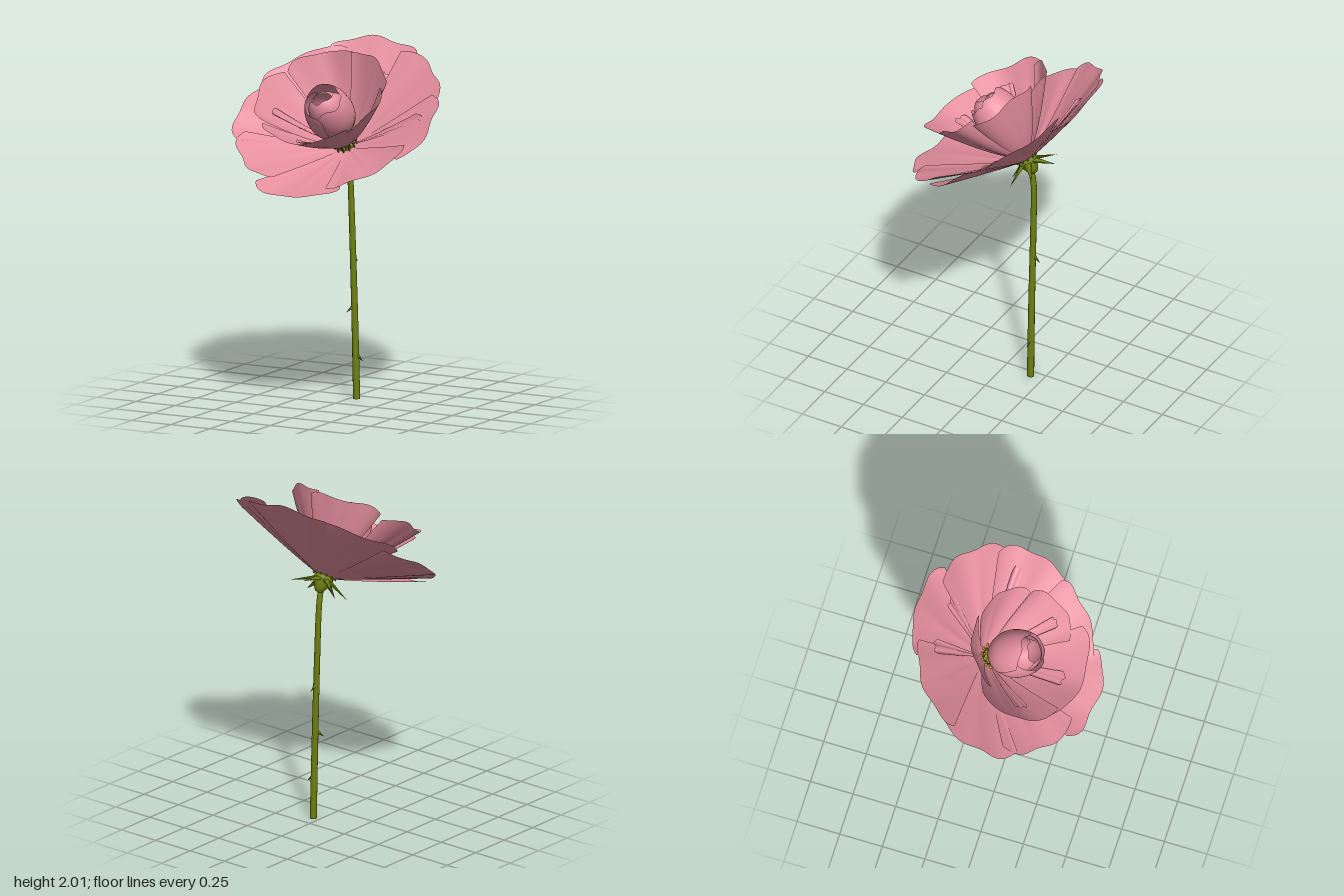
import * as THREE from 'three';

const petalPink = new THREE.MeshStandardMaterial({ color: 0xe68f9e, side: THREE.DoubleSide });
const stemGreen = new THREE.MeshStandardMaterial({ color: 0x6e800c, side: THREE.DoubleSide });
const antherYellow = new THREE.MeshStandardMaterial({ color: 0xc2980f });
petalPink.name = 'petalPink';
stemGreen.name = 'stemGreen';
antherYellow.name = 'antherYellow';

function add(parent, name, geometry, material) {
  const mesh = new THREE.Mesh(geometry, material);
  mesh.name = name;
  parent.add(mesh);
  return mesh;
}

// Smooth sheet: rule(u, v) with u in -1..1 across and v in 0..1 from base to rim
function sheet(nu, nv, rule) {
  const pos = [], index = [];
  for (let j = 0; j <= nv; j++) {
    for (let i = 0; i <= nu; i++) {
      // angle is measured from +z towards +x, around the flower axis y
      const [angle, r, h] = rule((i / nu) * 2 - 1, j / nv);
      pos.push(Math.sin(angle) * r, h, Math.cos(angle) * r);
      if (i < nu && j < nv) {
        const a = j * (nu + 1) + i, b = a + nu + 1;
        index.push(a, a + 1, b, b, a + 1, b + 1);
      }
    }
  }
  const g = new THREE.BufferGeometry();
  g.setAttribute('position', new THREE.Float32BufferAttribute(pos, 3));
  g.setIndex(index);
  g.computeVertexNormals();
  return g;
}

// Open petal with rounded corners, a scalloped rim and soft radial folds
function petal({ angle, half, radius, height, r0, h0, rise, twist, fold, seed }) {
  return sheet(32, 16, (u, v) => {
    const rim = 1 - 0.06 * u ** 6 + 0.014 * Math.sin(u * 7 + seed) * v;
    const r = r0 + (radius * rim - r0) * v;
    const h = h0 + (height - h0) * Math.pow(v, rise) * (0.6 + 0.4 * rim)
      + twist * u * v
      + fold * v * v * Math.sin(u * 5 + seed * 2)
      + fold * 0.7 * Math.sin(v * Math.PI) * Math.exp(-((u * 6 - Math.sin(seed)) ** 2));
    return [angle + u * half, r, h];
  });
}

// Cupped petal of the teardrop bud, centred on its group's origin
function budPetal(angle, half, scale, top, seed) {
  return sheet(22, 18, (u, v) => {
    const t = v * (top - 0.1 * u ** 4 + 0.02 * Math.sin(u * 6 + seed));
    const s = Math.sin(Math.PI * t);
    const r = 0.137 * scale * Math.pow(s, t < 0.5 ? 1.6 : 0.85) * (1 + 0.05 * u * v);
    return [angle + u * half, r + 0.003, -0.205 * scale * Math.cos(Math.PI * t)];
  });
}

export function createModel() {
  const model = new THREE.Group();
  model.name = 'flower';

  // Stem, leaning slightly and hooking forward into the flower
  const path = new THREE.CatmullRomCurve3([
    [0.04, 0, -0.172], [0.027, 0.5, -0.172], [0.01, 1, -0.173], [0, 1.28, -0.17], [0, 1.36, -0.158], [0, 1.42, -0.14],
  ].map(p => new THREE.Vector3(...p)));
  const stemGeo = new THREE.TubeGeometry(path, 30, 0.017, 10);
  const sp = stemGeo.attributes.position;
  for (let i = 0; i < sp.count; i++) {
    const c = path.getPointAt(Math.floor(i / 11) / 30);
    const s = 1.2 - 0.22 * c.y / 1.4;
    sp.setXYZ(i, c.x + (sp.getX(i) - c.x) * s, Math.max(0, c.y + (sp.getY(i) - c.y) * s), c.z + (sp.getZ(i) - c.z) * s);
  }
  add(model, 'stem', stemGeo, stemGreen);
  const cap = add(model, 'stemCut', new THREE.CircleGeometry(0.0203, 10), stemGreen);
  cap.rotation.x = Math.PI / 2;
  cap.position.set(0.04, 0.001, -0.172);

  // Thorns pointing out and down
  for (const [x, y, z, dx, dz] of [[0.05, 0.235, -0.172, 1, 0], [0.013, 0.51, -0.16, -0.7, 0.7], [0.016, 0.795, -0.19, 0.1, -1]]) {
    const thorn = add(model, 'thorn', new THREE.ConeGeometry(0.013, 0.06, 6), stemGreen);
    thorn.position.set(x + dx * 0.01, y, z + dz * 0.01);
    thorn.quaternion.setFromUnitVectors(new THREE.Vector3(0, 1, 0), new THREE.Vector3(dx, -0.85, dz).normalize());
  }

  // Flower head, tilted forward; its own axis is y
  const head = new THREE.Group();
  head.name = 'flowerHead';
  head.position.set(0, 1.44, -0.13);
  head.rotation.x = 0.603;
  model.add(head);

  // Funnel-shaped hip under the petals
  const hip = [[0, -0.085], [0.02, -0.08], [0.036, -0.055], [0.05, -0.025], [0.056, 0], [0.05, 0.018], [0.04, 0.03], [0, 0.04]];
  add(head, 'hip', new THREE.LatheGeometry(hip.map(p => new THREE.Vector2(...p)), 14), stemGreen);

  // Pointed sepals bent back from the hip
  for (let i = 0; i < 6; i++) {
    const sepal = new THREE.Group();
    sepal.name = 'sepal';
    sepal.rotation.y = (i / 6) * Math.PI * 2;
    head.add(sepal);
    const blade = add(sepal, 'sepalBlade', new THREE.ConeGeometry(0.029, 0.16, 6), stemGreen);
    blade.scale.z = 0.45;
    blade.rotation.x = Math.PI / 2 + 0.45;
    blade.position.set(0, -0.035, 0.097);
  }

  // Eight broad outer petals
  const outerRadius = [0.64, 0.585, 0.605, 0.61, 0.645, 0.61, 0.605, 0.575];
  outerRadius.forEach((radius, i) => add(head, 'outerPetal', petal({
    angle: i * Math.PI / 4, half: 0.47, radius, height: 0.23 + 0.008 * (i % 2),
    r0: 0.035, h0: 0.012, rise: 1.1, twist: 0.012, fold: 0.008, seed: i * 1.7,
  }), petalPink));

  // Inner cup: [angle, half width, radius, height]
  [[-0.06, 0.82, 0.41, 0.43], [1.2, 0.62, 0.35, 0.415], [2.45, 0.66, 0.345, 0.42], [3.65, 0.66, 0.355, 0.42], [4.95, 0.66, 0.41, 0.435]]
    .forEach(([angle, half, radius, height], i) => add(head, 'innerPetal', petal({
      angle, half, radius, height, r0: 0.045, h0: 0.05, rise: 1.25, twist: 0.02, fold: 0.011, seed: 2 + i * 2.3,
    }), petalPink));

  // Narrow folded strips lying on the petals: [angle, half width, radius, height]
  [[-0.1, 0.14, 0.33, 0.35], [1.0, 0.12, 0.3, 0.36], [5.1, 0.12, 0.33, 0.36], [2.85, 0.1, 0.44, 0.18], [3.5, 0.1, 0.46, 0.19], [1.75, 0.08, 0.5, 0.2]]
    .forEach(([angle, half, radius, height], i) => add(head, 'petalFold', petal({
      angle, half, radius, height, r0: 0.05, h0: i < 3 ? 0.06 : 0.025, rise: i < 3 ? 1.2 : 1.1, twist: 0.006, fold: 0.004, seed: i,
    }), petalPink));

  // Half-open bud, nodding forward: wrapped petals around a tighter core
  const bud = new THREE.Group();
  bud.name = 'bud';
  bud.position.set(-0.004, 0.28, 0.025);
  bud.rotation.x = 0.17;
  head.add(bud);
  for (let i = 0; i < 3; i++) {
    add(bud, 'budPetal', budPetal(Math.PI + i * 2.094, 1.3, 1 - i * 0.025, i === 0 ? 0.77 : 0.73, i * 2), petalPink);
  }
  for (let i = 0; i < 2; i++) {
    add(bud, 'budCorePetal', budPetal(0.6 + i * Math.PI, 1.75, 0.84 - i * 0.08, 0.9, 1 + i), petalPink);
  }

  // Stamens around the foot of the bud
  for (let i = 0; i < 24; i++) {
    const a = (i / 24) * Math.PI * 2, r = i % 2 ? 0.066 : 0.05, h = i % 2 ? 0.066 : 0.085;
    const filament = add(head, 'filament', new THREE.CylinderGeometry(0.004, 0.005, 0.055, 5), stemGreen);
    filament.position.set(Math.sin(a) * r, h - 0.028, Math.cos(a) * r);
    const anther = add(head, 'anther', new THREE.SphereGeometry(0.0095, 7, 5), antherYellow);
    anther.position.set(Math.sin(a) * r, h, Math.cos(a) * r);
  }
  return model;
}
